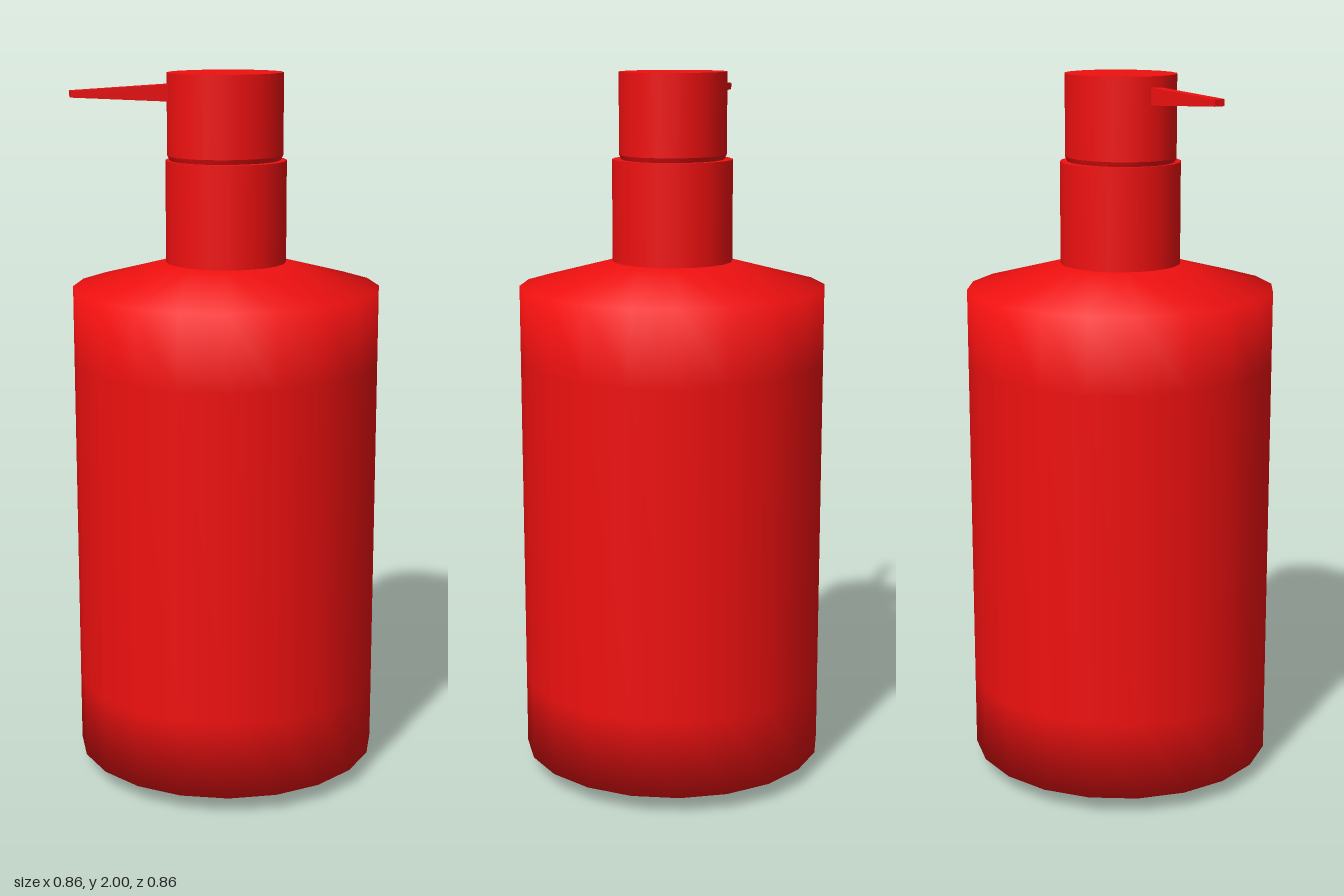
import * as THREE from 'three';

const SIDES = 20;
const material = new THREE.MeshStandardMaterial({ color: 0xf01010, side: THREE.DoubleSide });

function addPart(group, name, geometry) {
  const mesh = new THREE.Mesh(geometry, material);
  mesh.name = name;
  group.add(mesh);
  return mesh;
}

// Straight cylinder between two heights
function cylinder(topRadius, bottomRadius, y0, y1, open = false) {
  const g = new THREE.CylinderGeometry(topRadius, bottomRadius, y1 - y0, SIDES, 1, open);
  return g.translate(0, (y0 + y1) / 2, 0);
}

// Spout: a slim box tapering in height towards its tip and angled slightly back
function spoutGeometry() {
  const rootX = -0.13, tipX = -0.427;
  const g = new THREE.BoxGeometry(1, 1, 1);
  const p = g.attributes.position;
  for (let i = 0; i < p.count; i++) {
    const tip = p.getX(i) < 0;
    const side = p.getZ(i);
    const height = tip ? 0.018 : 0.05;
    const x = (tip ? tipX : rootX) - side * 0.003;
    const z = (tip ? -0.047 : -0.016) + side * 0.032;
    p.setXYZ(i, x, 1.947 + p.getY(i) * height, z);
  }
  g.computeVertexNormals();
  return g;
}

export function createModel() {
  const model = new THREE.Group();
  model.name = 'pumpBottle';

  // Bottle body with soft shading over the base and shoulder
  const profile = [
    [0, 0], [0.15, 0], [0.43, 0.05], [0.43, 0.27],
    [0.43, 1.2], [0.43, 1.41], [0.167, 1.48], [0, 1.48],
  ].map(([r, y]) => new THREE.Vector2(r, y));
  addPart(model, 'bottleBody', new THREE.LatheGeometry(profile, SIDES));

  // Collar around the neck
  addPart(model, 'collar', cylinder(0.168, 0.168, 1.475, 1.762));

  // Pump head, slightly oval, with a narrow chamfer at its foot
  const head = new THREE.Group();
  head.name = 'pumpHead';
  addPart(head, 'headCap', cylinder(0.15, 0.15, 1.775, 2));
  addPart(head, 'headChamfer', cylinder(0.15, 0.143, 1.76, 1.775, true));
  head.scale.set(1.08, 1, 0.99);
  head.position.set(-0.002, 0, -0.001);
  model.add(head);

  // Spout
  addPart(model, 'spout', spoutGeometry());

  return model;
}
